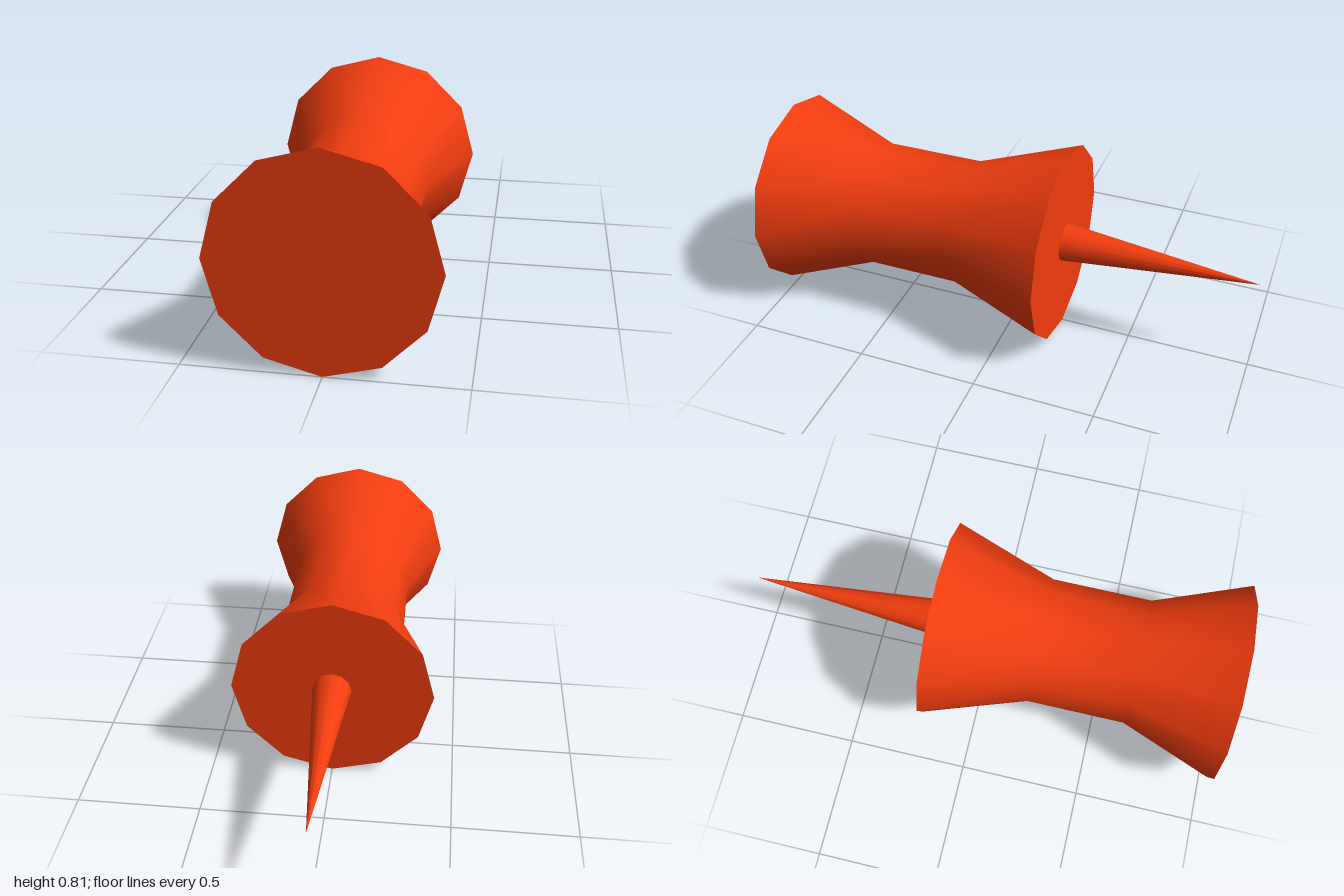
import * as THREE from 'three';

const SIDES = 12;
const CENTER_Y = 0.405;
const RIM = 0.405;
const WAIST = 0.26;
const BACK = -0.205;
const FRONT = 1;

export function createModel() {
  const group = new THREE.Group();
  group.name = 'pushPin';
  const material = new THREE.MeshStandardMaterial({ color: 0xf23d0f });

  const add = (name, geometry, y, z) => {
    const mesh = new THREE.Mesh(geometry, material);
    mesh.name = name;
    mesh.position.set(0, y, z);
    group.add(mesh);
    return mesh;
  };

  // Waisted grip, smooth around and along, lying along z
  const profile = [[RIM, BACK], [WAIST, 0.215], [WAIST, 0.62], [RIM, FRONT]]
    .map(([r, z]) => new THREE.Vector2(r, z));
  add('grip', new THREE.LatheGeometry(profile, SIDES).rotateX(Math.PI / 2), CENTER_Y, 0);

  // Flat end caps
  add('frontCap', new THREE.CircleGeometry(RIM, SIDES), CENTER_Y, FRONT);
  add('backCap', new THREE.CircleGeometry(RIM, SIDES).rotateY(Math.PI), CENTER_Y, BACK);

  // Needle pointing backwards
  const length = 1 + BACK;
  const needle = new THREE.ConeGeometry(0.078, length, SIDES, 1, true).rotateX(-Math.PI / 2);
  add('needle', needle, 0.413, BACK - length / 2);

  return group;
}
